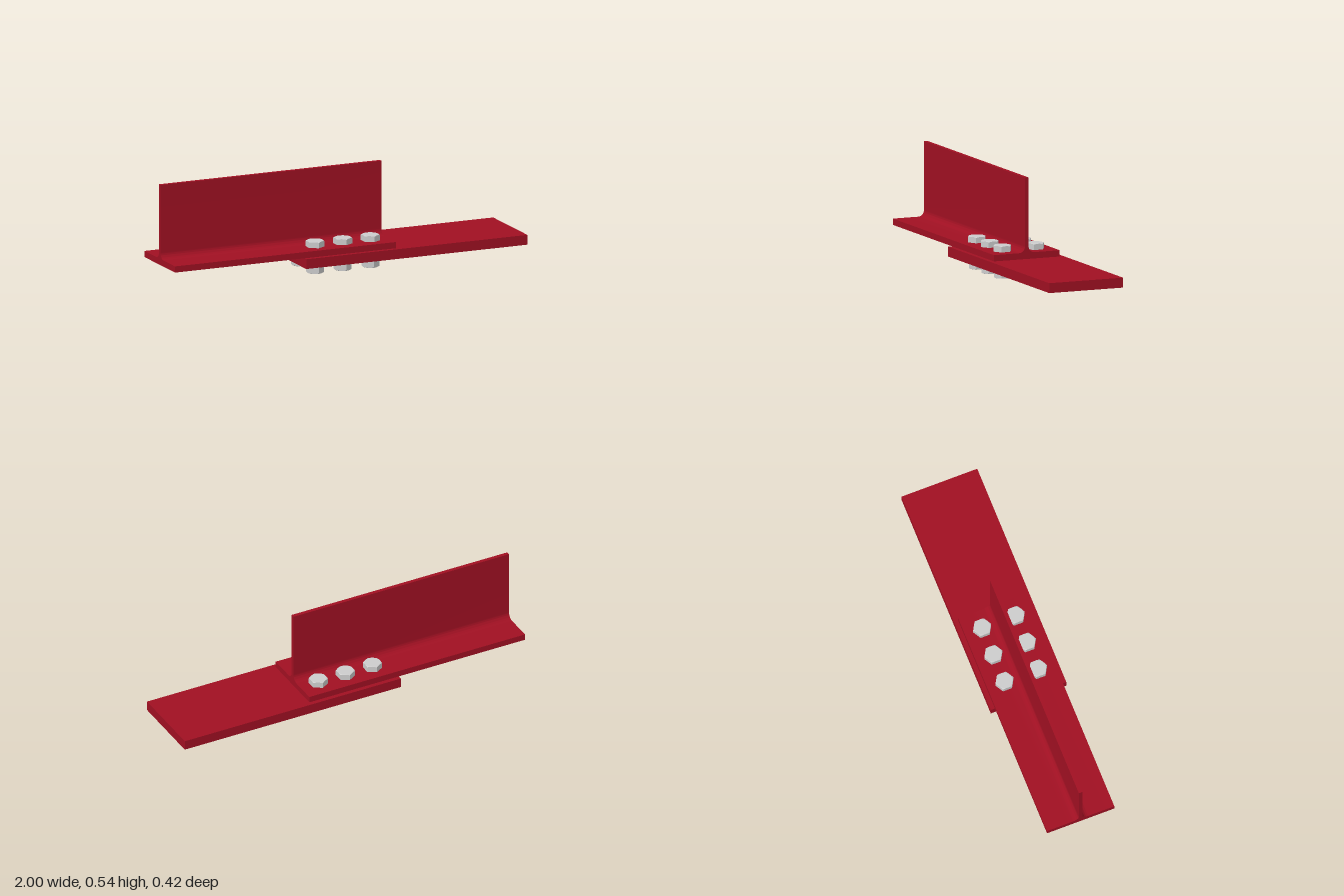
import * as THREE from 'three';
import { toCreasedNormals } from 'three/addons/utils/BufferGeometryUtils.js';

const red = new THREE.MeshStandardMaterial({ color: 0xa01022 });
const grey = new THREE.MeshStandardMaterial({ color: 0xcccccc });

function part(name, geometry, material, x = 0, y = 0, z = 0) {
  const mesh = new THREE.Mesh(geometry, material);
  mesh.name = name;
  mesh.position.set(x, y, z);
  return mesh;
}

// Hexagonal prism with corners along z and corner chamfers on the chosen ends
function hexGeometry(radius, height, chamferBottom, chamferTop) {
  const inner = radius * Math.cos(Math.PI / 6);
  const flat = inner * 0.98;
  const profile = [[0, 0], [flat, 0], [radius, 0], [radius, height], [flat, height], [0, height]];
  const geo = new THREE.LatheGeometry(profile.map(([r, y]) => new THREE.Vector2(r, y)), 36);
  const pos = geo.attributes.position;
  const sector = Math.PI / 3;
  for (let i = 0; i < pos.count; i++) {
    const ring = i % profile.length;
    if (ring !== 2 && ring !== 3) continue;
    const angle = Math.floor(i / profile.length) * Math.PI / 18;
    const r = inner / Math.cos((angle % sector) - sector / 2);
    const drop = 0.5 * (r - flat);
    let y = pos.getY(i);
    if (ring === 2 && chamferBottom) y += drop;
    if (ring === 3 && chamferTop) y -= drop;
    pos.setXYZ(i, r * Math.sin(angle), y, r * Math.cos(angle));
  }
  return toCreasedNormals(geo, 0.4);
}

// Tee section: flange, root fillets and upright web, extruded along x
function teeGeometry(length) {
  const half = 0.187, bottom = 0.108, flangeTop = 0.141, web = 0.01, top = 0.535, r = 0.034;
  const s = new THREE.Shape();
  s.moveTo(-half, bottom);
  s.lineTo(half, bottom);
  s.lineTo(half, flangeTop);
  s.lineTo(web + r, flangeTop);
  s.absarc(web + r, flangeTop + r, r, -Math.PI / 2, -Math.PI, true);
  s.lineTo(web, top);
  s.lineTo(-web, top);
  s.lineTo(-web, flangeTop + r);
  s.absarc(-web - r, flangeTop + r, r, 0, -Math.PI / 2, true);
  s.lineTo(-half, flangeTop);
  s.closePath();
  const geo = new THREE.ExtrudeGeometry(s, { depth: length, bevelEnabled: false, curveSegments: 12 });
  geo.rotateY(Math.PI / 2);
  return toCreasedNormals(geo, 0.5);
}

export function createModel() {
  const model = new THREE.Group();
  model.name = 'boltedTeeJoint';

  model.add(part('teeSection', teeGeometry(1.26), red, -1));
  model.add(part('basePlate', new THREE.BoxGeometry(1.262, 0.052, 0.42), red, 0.369, 0.082));

  // Shared bolt pieces
  const head = hexGeometry(0.05, 0.032, false, true);
  const nut = hexGeometry(0.0465, 0.046, true, true);
  const washer = toCreasedNormals(new THREE.CylinderGeometry(0.052, 0.052, 0.008, 40), 0.5);
  const shankProfile = [[0, 0], [0.024, 0], [0.027, 0.003], [0.027, 0.15], [0, 0.15]];
  const shank = toCreasedNormals(
    new THREE.LatheGeometry(shankProfile.map(([r, y]) => new THREE.Vector2(r, y)), 32), 0.4);

  // Two rows of three bolts, either side of the web
  for (const z of [-0.093, 0.093]) {
    for (const x of [-0.158, 0, 0.158]) {
      const bolt = new THREE.Group();
      bolt.name = 'bolt';
      bolt.position.set(x, 0, z);
      bolt.add(
        part('boltHead', head, grey, 0, 0.141),
        part('boltShank', shank, grey),
        part('washer', washer, grey, 0, 0.052),
        part('nut', nut, grey, 0, 0.002)
      );
      model.add(bolt);
    }
  }
  return model;
}
